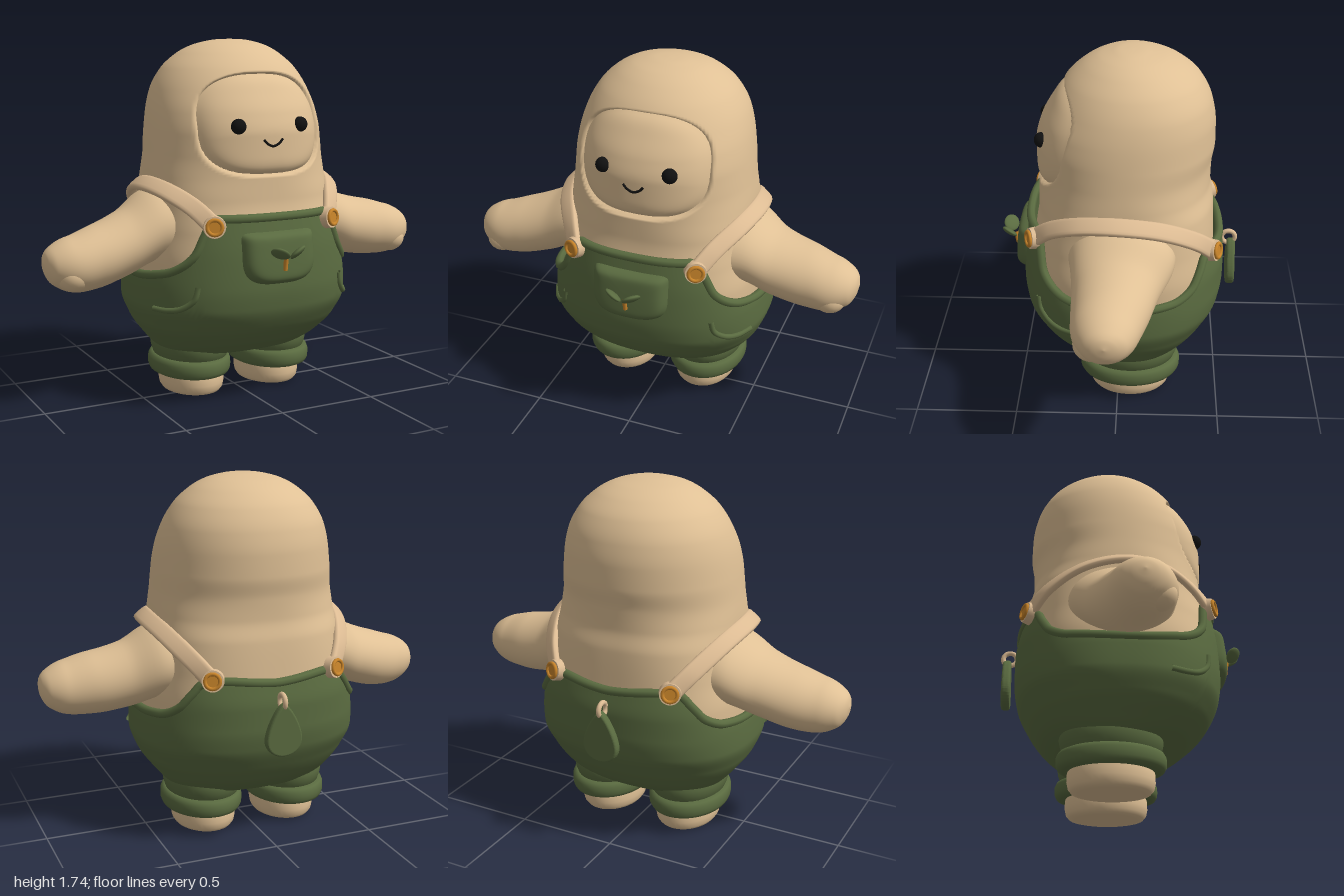
import * as THREE from 'three';
import { mergeVertices } from 'three/addons/utils/BufferGeometryUtils.js';

const V = (x, y, z) => new THREE.Vector3(x, y, z);
const mat = (name, color, extra = {}) => Object.assign(new THREE.MeshStandardMaterial({ color, ...extra }), { name });

// Monotone cubic interpolation through rows [key, value, value, ...]
function sample(rows, k) {
  let i = 0;
  while (i < rows.length - 2 && k > rows[i + 1][0]) i++;
  const a = rows[i], b = rows[i + 1], h = b[0] - a[0];
  const t = THREE.MathUtils.clamp((k - a[0]) / h, 0, 1);
  return a.slice(1).map((_, j) => {
    const c = j + 1;
    const sec = (m) => (rows[m + 1][c] - rows[m][c]) / (rows[m + 1][0] - rows[m][0]);
    const slope = (m) => {
      if (m === 0) return sec(0);
      if (m === rows.length - 1) return sec(m - 1);
      const p = sec(m - 1), q = sec(m);
      return p * q <= 0 ? 0 : (2 * p * q) / (p + q);
    };
    const t2 = t * t, t3 = t2 * t;
    return a[c] * (2 * t3 - 3 * t2 + 1) + b[c] * (3 * t2 - 2 * t3) +
      h * (slope(i) * (t3 - 2 * t2 + t) + slope(i + 1) * (t3 - t2));
  });
}

// Smooth surface from a rule (u, v) -> point
function grid(nu, nv, fn) {
  const g = new THREE.PlaneGeometry(1, 1, nu, nv), p = g.attributes.position;
  for (let i = 0; i < p.count; i++) {
    const q = fn(p.getX(i) + 0.5, p.getY(i) + 0.5);
    p.setXYZ(i, q.x, q.y, q.z);
  }
  g.deleteAttribute('uv');
  g.deleteAttribute('normal');
  const m = mergeVertices(g, 1e-5);
  m.computeVertexNormals();
  return m;
}

const spow = (v, e) => Math.sign(v) * Math.pow(Math.abs(v), e);

// Point on a rounded body; rows are [y, half width, front z, back z, squareness]
function around(rows, a, y, off = 0) {
  const [w, f, b, n] = sample(rows, y);
  return V((w + off) * spow(Math.sin(a), 2 / n), y, (f + b) / 2 + ((f - b) / 2 + off) * spow(Math.cos(a), 2 / n));
}
function frontZ(rows, x, y) {
  const [w, f, b, n] = sample(rows, y);
  return (f + b) / 2 + ((f - b) / 2) * Math.pow(Math.max(0, 1 - Math.pow(Math.abs(x) / w, n)), 1 / n);
}

const BODY = [
  [0.5, 0.48, 0.41, -0.46, 2.6], [0.7, 0.49, 0.42, -0.47, 2.6], [0.85, 0.47, 0.41, -0.465, 2.6],
  [1.0, 0.455, 0.39, -0.457, 2.5], [1.1, 0.45, 0.39, -0.44, 2.25], [1.2, 0.44, 0.395, -0.443, 2.1],
  [1.3, 0.43, 0.395, -0.457, 2.1], [1.4, 0.415, 0.37, -0.455, 2.1], [1.5, 0.387, 0.315, -0.437, 2.1],
  [1.6, 0.332, 0.25, -0.388, 2.05], [1.67, 0.258, 0.175, -0.312, 2], [1.71, 0.185, 0.105, -0.23, 2],
  [1.73, 0.115, 0.04, -0.15, 2], [1.738, 0.06, 0, -0.1, 2], [1.74, 0, -0.05, -0.05, 2]];
const TROUSERS = [
  [0.2, 0, -0.06, -0.06, 2.2], [0.22, 0.36, 0.17, -0.28, 2.3], [0.25, 0.405, 0.235, -0.33, 2.3],
  [0.3, 0.45, 0.315, -0.39, 2.3], [0.4, 0.52, 0.415, -0.46, 2.3], [0.5, 0.55, 0.463, -0.505, 2.4],
  [0.6, 0.545, 0.475, -0.52, 2.4], [0.7, 0.522, 0.47, -0.52, 2.5], [0.8, 0.493, 0.46, -0.503, 2.6],
  [0.94, 0.46, 0.435, -0.46, 2.6]];
// Height of the trouser edge by angle from the front
const EDGE = [[0, 0.94], [0.55, 0.94], [0.66, 0.9], [0.75, 0.79], [0.9, 0.72], [1.1, 0.68], [1.53, 0.65],
  [2, 0.67], [2.2, 0.71], [2.35, 0.785], [2.5, 0.845], [2.7, 0.85], [Math.PI, 0.83]];
const edgeY = (a) => sample(EDGE, a > Math.PI ? 2 * Math.PI - a : a)[0];
// Arm sections: [x, centre y, half height, centre z, half depth]
const ARM = [[0.3, 0.868, 0.18, -0.02, 0.265], [0.45, 0.855, 0.172, -0.025, 0.245], [0.6, 0.785, 0.155, 0, 0.2],
  [0.75, 0.735, 0.148, 0.02, 0.175], [0.88, 0.713, 0.128, 0.035, 0.146], [0.96, 0.715, 0.088, 0.035, 0.102],
  [0.99, 0.724, 0.047, 0.035, 0.052], [1, 0.73, 0, 0.035, 0]];
const FACE = { cy: 1.34, w: 0.315, up: 0.24, down: 0.22, nU: 2.55, nD: 3 };
const BIB = { cy: 0.76, w: 0.19, up: 0.105, down: 0.14, nU: 10, nD: 3.2 };

// Padded plate that follows the front of a body
const pad = (rows, o, off) => grid(72, 20, (u, v) => {
  const a = u * 2 * Math.PI, r = 1 - v, top = Math.sin(a) >= 0, e = 2 / (top ? o.nU : o.nD);
  const x = r * o.w * spow(Math.cos(a), e), y = o.cy + r * (top ? o.up : o.down) * spow(Math.sin(a), e);
  return V(x, y, frontZ(rows, x, y) + off(r));
});
const tube = (pts, r, closed = false, n = 40) =>
  new THREE.TubeGeometry(new THREE.CatmullRomCurve3(pts, closed), n, r, 8, closed);
const lathe = (pts, depth) =>
  new THREE.LatheGeometry(pts.map((p) => new THREE.Vector2(...p)), 40).scale(1, 1, depth);

export function createModel() {
  const root = new THREE.Group();
  const skin = mat('tan', 0xdfc095), green = mat('olive green', 0x5a6b40, { side: THREE.DoubleSide });
  const strapTan = mat('strap tan', 0xdcbb93), amber = mat('amber', 0xc8842a), black = mat('black', 0x111111);
  const add = (name, geo, m, x = 0, y = 0, z = 0, parent = root) => {
    const mesh = new THREE.Mesh(geo, m);
    mesh.name = name;
    mesh.position.set(x, y, z);
    parent.add(mesh);
    return mesh;
  };
  const ball = (name, m, p, s) => add(name, new THREE.SphereGeometry(1, 24, 16).scale(...s), m, ...p);

  // Hooded body with a recess for the face
  add('body', grid(144, 150, (u, v) => {
    const p = around(BODY, u * 2 * Math.PI, 0.5 + 1.24 * (1 - Math.pow(1 - v, 1.6)));
    const dy = p.y - FACE.cy, n = dy > 0 ? FACE.nU : FACE.nD;
    const d = Math.pow(Math.pow(Math.abs(p.x) / FACE.w, n) + Math.pow(Math.abs(dy) / (dy > 0 ? FACE.up : FACE.down), n), 1 / n);
    if (p.z > 0) p.z -= 0.04 * (1 - THREE.MathUtils.smoothstep(d, 0.96, 1.04));
    return p;
  }), skin);
  add('face', pad(BODY, FACE, (r) => 0.002 - 0.03 * Math.pow(r, 12)), skin);
  add('smile', tube([-0.05, -0.03, 0, 0.03, 0.05].map((x) => {
    const y = 1.252 + 13 * x * x;
    return V(x, y, frontZ(BODY, x, y) + 0.003);
  }), 0.006), black);

  // Trousers with piping along the edge
  add('trousers', grid(112, 70, (u, v) => {
    const a = u * 2 * Math.PI;
    return around(TROUSERS, a, 0.2 + (edgeY(a) - 0.2) * v);
  }), green);
  const rim = Array.from({ length: 90 }, (_, i) => {
    const a = (i / 90) * 2 * Math.PI;
    return around(TROUSERS, a, edgeY(a) - 0.012, -0.004);
  });
  add('trouserPiping', tube(rim, 0.021, true, 180), green);

  // Bib pocket with a sprout
  add('bibPocket', pad(TROUSERS, BIB, (r) => 0.046 * (1 - Math.pow(r, 10)) - 0.003), green);
  add('sproutStem', tube([V(0, 0.69, 0.515), V(0, 0.725, 0.52), V(0, 0.755, 0.525)], 0.011), amber);

  for (const s of [1, -1]) {
    ball('eye', black, [s * 0.162, 1.345, frontZ(BODY, 0.162, 1.345)], [0.036, 0.036, 0.034]);
    ball('sproutLeaf', green, [s * 0.045, 0.777, 0.55], [0.046, 0.014, 0.04]).rotation.set(-0.6, 0, s * 0.5);

    // Arm and thumb; the left arm is raised a little
    const lift = (x) => (s > 0 ? 0.035 * THREE.MathUtils.smoothstep(x, 0.5, 0.85) : 0);
    add('arm', grid(48, 48, (u, v) => {
      const x = 0.3 + 0.7 * (1 - Math.pow(1 - v, 1.7)), [cy, ry, cz, rz] = sample(ARM, x);
      const a = (s > 0 ? u : 1 - u) * 2 * Math.PI;
      return V(s * x, cy + lift(x) + ry * Math.cos(a), cz + rz * Math.sin(a));
    }), skin);
    ball('thumb', skin, [s * 0.875, 0.67 + lift(0.875), 0.09], [0.08, 0.075, 0.088]);

    // Shoulder strap: a soft flat band swept over the shoulder
    const path = new THREE.CatmullRomCurve3([[0.305, 0.897, 0.4], [0.367, 0.978, 0.31], [0.442, 1.043, 0.17],
      [0.477, 1.063, 0], [0.452, 1.028, -0.2], [0.382, 0.94, -0.365], [0.308, 0.848, -0.455]].map(([x, y, z]) => V(s * x, y, z)));
    add('strap', grid(16, 60, (u, v) => {
      const p = path.getPoint(v), t = path.getTangent(v), a = u * 2 * Math.PI;
      const n = V(p.x, Math.max(0, p.y - 0.85) * 3, p.z);
      n.addScaledVector(t, -n.dot(t)).normalize();
      const b = t.clone().cross(n);
      return p.addScaledVector(n, 0.018 * spow(Math.cos(a), 0.6)).addScaledVector(b, 0.044 * spow(Math.sin(a), 0.6));
    }), strapTan);

    // Buttons at both strap ends
    for (const [y, z, tilt] of [[0.897, 0.4, 0.1], [0.848, -0.455, 0.15]]) {
      const button = new THREE.Group();
      button.name = 'button';
      button.position.set(s * 0.305, y, z);
      button.lookAt(s * 0.305 + s * 0.4, y + tilt, z + Math.sign(z) * 0.9);
      root.add(button);
      const disc = (name, r, h, m, d) =>
        add(name, new THREE.CylinderGeometry(r * 0.93, r, h, 28).rotateX(Math.PI / 2), m, 0, 0, d, button);
      disc('strapEnd', 0.054, 0.036, strapTan, 0.002);
      disc('buttonDisc', 0.04, 0.02, amber, 0.016);
      add('buttonRim', new THREE.TorusGeometry(0.034, 0.009, 10, 28), amber, 0, 0, 0.025, button);
    }

    // Side pocket welt
    add('sidePocket', tube([[0.7, 0.62], [0.73, 0.56], [0.85, 0.515], [1.0, 0.498], [1.2, 0.497]].map(([a, y]) =>
      around(TROUSERS, s * a, y, 0)), 0.014), green);

    // Leg, cuff and foot
    add('leg', lathe([[0.16, 0.16], [0.178, 0.19], [0.187, 0.22], [0.191, 0.25], [0.186, 0.31], [0.14, 0.38], [0, 0.42]], 1.26),
      green, s * 0.22, 0, -0.06);
    add('cuff', lathe([[0.14, 0.1], [0.175, 0.1], [0.189, 0.108], [0.196, 0.125], [0.197, 0.145], [0.196, 0.165],
      [0.189, 0.182], [0.175, 0.19], [0.14, 0.19]], 1.28), green, s * 0.225, 0, -0.06);
    add('foot', lathe([[0, 0], [0.12, 0.002], [0.14, 0.008], [0.151, 0.025], [0.156, 0.055], [0.155, 0.09], [0.148, 0.14]], 1.29),
      skin, s * 0.215, 0, -0.06);
  }

  // Teardrop tag hanging on a loop at the back
  const drop = new THREE.Shape();
  drop.moveTo(0, 0.725);
  drop.bezierCurveTo(-0.03, 0.71, -0.085, 0.605, -0.08, 0.555);
  drop.bezierCurveTo(-0.07, 0.472, 0.07, 0.472, 0.08, 0.555);
  drop.bezierCurveTo(0.085, 0.605, 0.03, 0.71, 0, 0.725);
  add('backTag', new THREE.ExtrudeGeometry(drop, { depth: 0.014, bevelThickness: 0.014, bevelSize: 0.01,
    bevelSegments: 4, curveSegments: 16 }), green, 0, 0, -0.567);
  add('tagLoop', new THREE.TorusGeometry(0.033, 0.012, 10, 28).rotateY(Math.PI / 2), strapTan, 0, 0.742, -0.547);
  return root;
}
